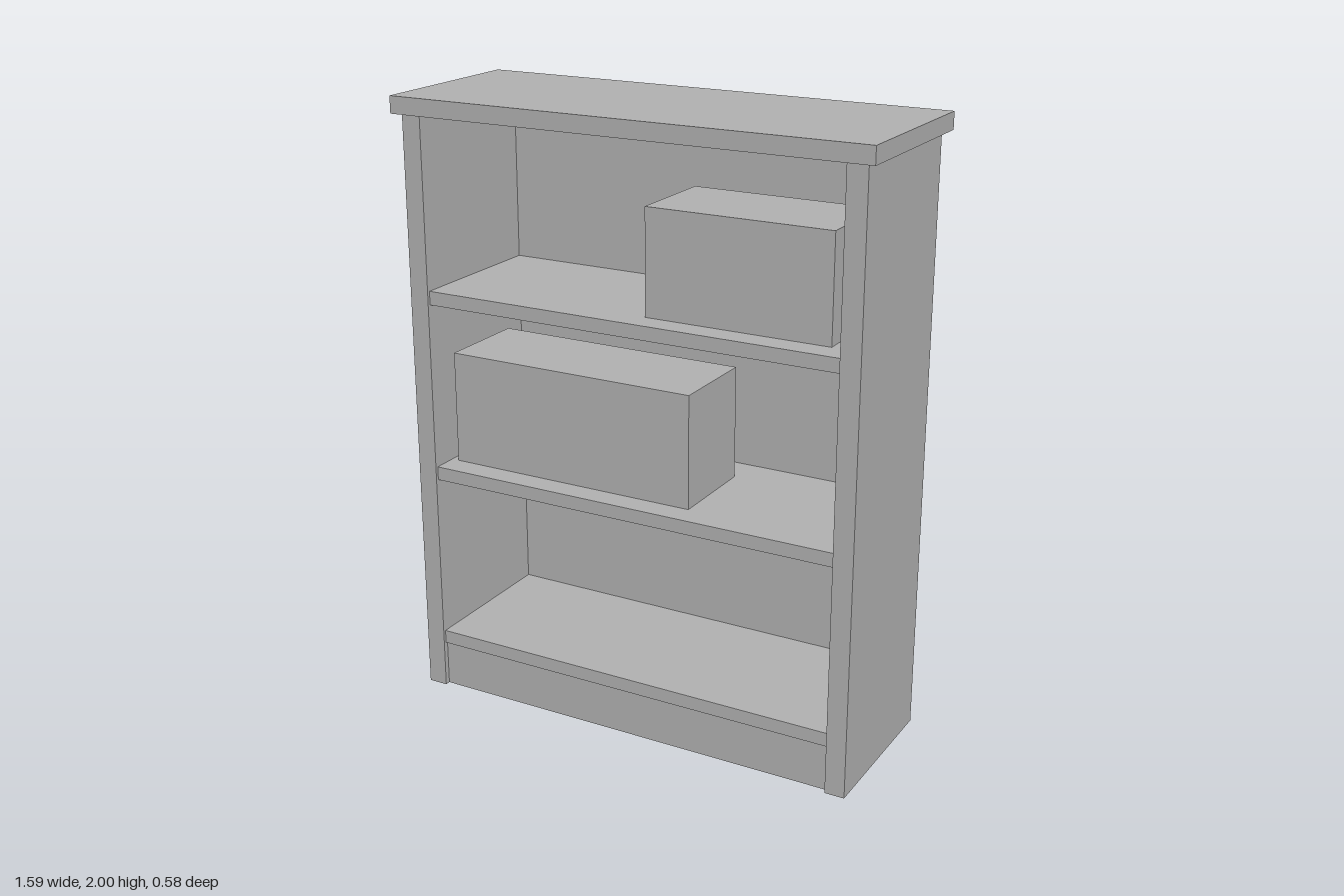
import * as THREE from 'three';

export function createModel() {
  const model = new THREE.Group();
  const grey = new THREE.MeshStandardMaterial({ color: 0xb2b2b2, side: THREE.DoubleSide });
  grey.name = 'plainGrey';

  // Box given by its limits on each axis; openBottom leaves out the underside
  function addBox(name, [x0, x1], [y0, y1], [z0, z1], openBottom = false) {
    const geometry = new THREE.BoxGeometry(x1 - x0, y1 - y0, z1 - z0);
    if (openBottom) {
      const index = Array.from(geometry.index.array);
      index.splice(18, 6);
      geometry.setIndex(index);
      geometry.clearGroups();
    }
    const mesh = new THREE.Mesh(geometry, grey);
    mesh.name = name;
    mesh.position.set((x0 + x1) / 2, (y0 + y1) / 2, (z0 + z1) / 2);
    model.add(mesh);
  }

  const inner = [-0.705, 0.705];

  // Overhanging top board
  addBox('topBoard', [-0.797, 0.797], [1.945, 2], [-0.292, 0.292]);

  // Upright side panels, hollow underneath
  addBox('leftSide', [0.705, 0.77], [0, 1.945], [-0.27, 0.27], true);
  addBox('rightSide', [-0.77, -0.705], [0, 1.945], [-0.27, 0.27], true);

  // Back panel, stopping above the floor
  addBox('backPanel', inner, [0.155, 1.945], [-0.27, -0.25], true);

  // Three shelves
  ['bottomShelf', 'middleShelf', 'upperShelf'].forEach((name, i) => {
    const top = 0.2 + i * 0.594;
    addBox(name, inner, [top - 0.045, top], [-0.25, 0.26]);
  });

  // Thin kick board below the bottom shelf
  const kick = new THREE.Mesh(new THREE.PlaneGeometry(1.41, 0.155), grey);
  kick.name = 'kickBoard';
  kick.position.set(0, 0.0775, 0.252);
  model.add(kick);

  // Storage boxes standing on the shelves
  addBox('middleStorageBox', [-0.68, 0.18], [0.794, 1.165], [-0.135, 0.178]);
  addBox('upperStorageBox', [0.03, 0.64], [1.388, 1.727], [-0.135, 0.178]);

  return model;
}
